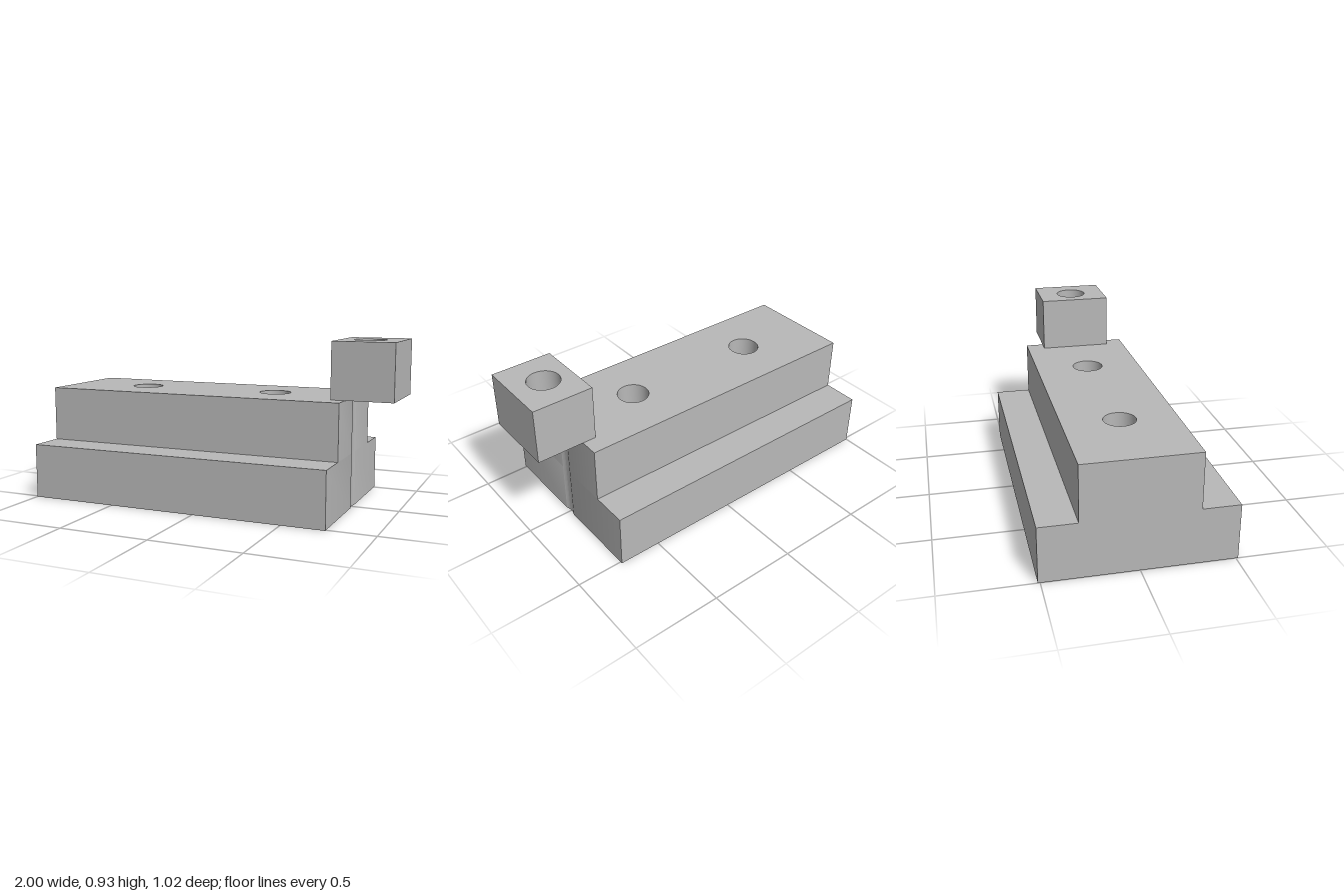
import * as THREE from 'three';
import { toCreasedNormals } from 'three/addons/utils/BufferGeometryUtils.js';

const LEFT_END = -1, RIGHT_END = 0.74;   // ends of the stepped body
const BOLT_XS = [-0.54, 0.28];           // bolts through the body
const BLOCK_BOLT_X = 0.82;               // bolt through the end block
const BOLT_R = 0.088, NUT_R = 0.172;

function roundHole(x) {
  return new THREE.Path().absarc(x, 0, BOLT_R, 0, Math.PI * 2, true);
}

function hexHole(x) {
  const points = [];
  for (let i = 0; i < 6; i++) {
    const a = -i * Math.PI / 3;
    points.push(new THREE.Vector2(x + NUT_R * Math.cos(a), NUT_R * Math.sin(a)));
  }
  return new THREE.Path(points);
}

// Plan outline of a body layer, with the block's bolt hole grazing its end face
function layerOutline(halfDepth) {
  const a = Math.acos((BLOCK_BOLT_X - RIGHT_END) / BOLT_R);
  const s = new THREE.Shape();
  s.moveTo(LEFT_END, -halfDepth);
  s.lineTo(RIGHT_END, -halfDepth);
  s.lineTo(RIGHT_END, -BOLT_R * Math.sin(a));
  s.absarc(BLOCK_BOLT_X, 0, BOLT_R, Math.PI + a, Math.PI - a, true);
  s.lineTo(RIGHT_END, halfDepth);
  s.lineTo(LEFT_END, halfDepth);
  s.closePath();
  return s;
}

function blockOutline() {
  return new THREE.Shape([[0.663, -0.205], [1, -0.205], [1, 0.205], [0.663, 0.205]]
    .map(([x, y]) => new THREE.Vector2(x, y)));
}

// Raise a plan outline from y0 to y1
function slab(name, outline, holes, y0, y1, material) {
  outline.holes = holes;
  const g = new THREE.ExtrudeGeometry(outline, { depth: y1 - y0, bevelEnabled: false, curveSegments: 24 });
  g.rotateX(-Math.PI / 2);
  g.translate(0, y0, 0);
  const mesh = new THREE.Mesh(toCreasedNormals(g, 0.5), material);
  mesh.name = name;
  return mesh;
}

export function createModel() {
  const group = new THREE.Group();
  group.name = 'steppedMountingBlock';
  const grey = new THREE.MeshStandardMaterial({ color: 0xb8b8b8 });
  grey.name = 'grey';

  // Wide base with hexagonal nut pockets, narrower rail with bolt holes, raised end block
  group.add(
    slab('base', layerOutline(0.512), BOLT_XS.map(hexHole), 0, 0.308, grey),
    slab('rail', layerOutline(0.308), BOLT_XS.map(roundHole), 0.308, 0.617, grey),
    slab('endBlock', blockOutline(), [roundHole(BLOCK_BOLT_X)], 0.617, 0.926, grey),
  );
  return group;
}
